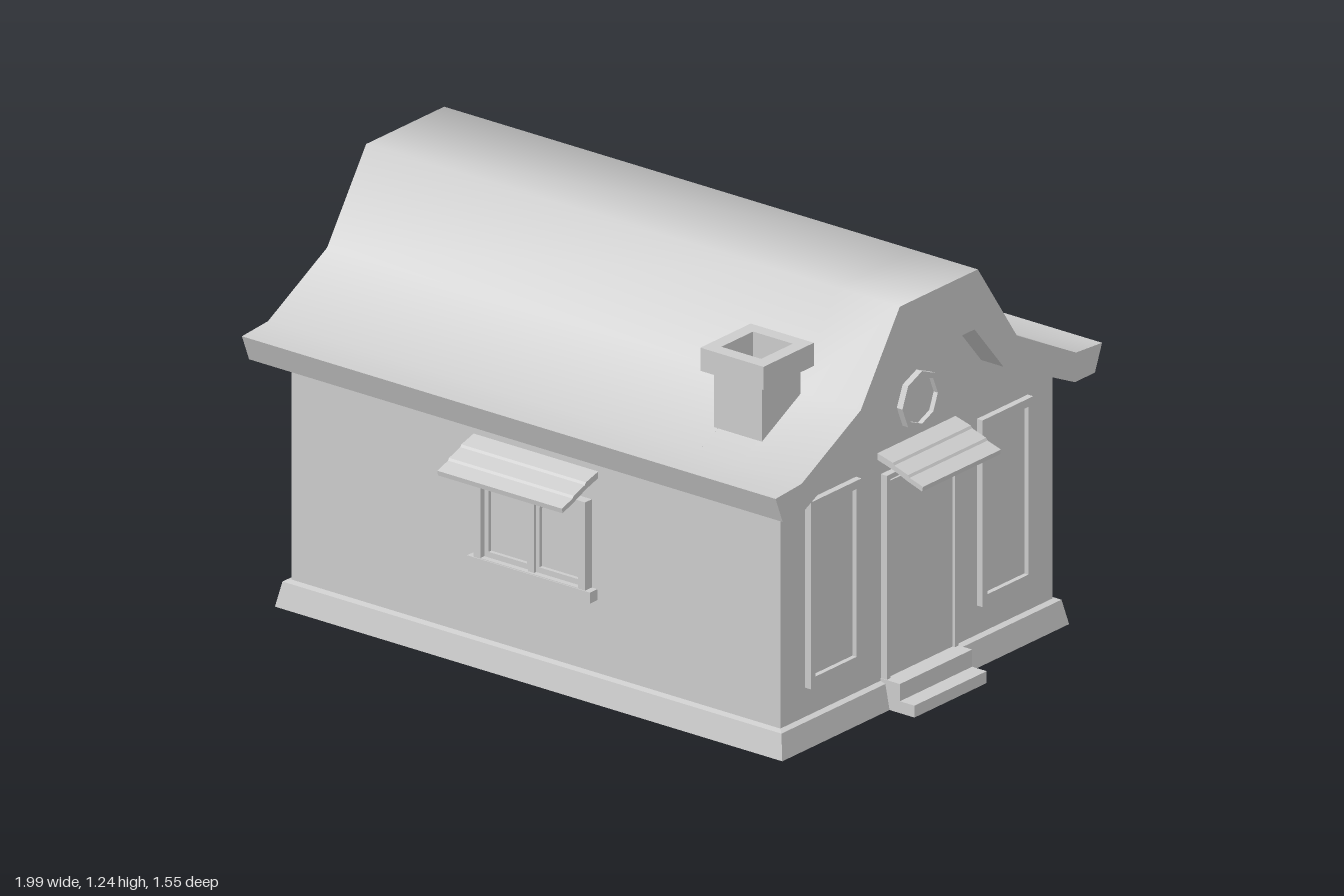
import * as THREE from 'three';
import { mergeGeometries, toCreasedNormals } from 'three/addons/utils/BufferGeometryUtils.js';

const grey = new THREE.MeshStandardMaterial({ color: 0xcccccc });
const sheet = new THREE.MeshStandardMaterial({ color: 0xcccccc, side: THREE.DoubleSide });

const mesh = (name, geometry, material = grey) => {
  const m = new THREE.Mesh(geometry, material);
  m.name = name;
  return m;
};
const shapeOf = (pts) => new THREE.Shape(pts.map(([x, y]) => new THREE.Vector2(x, y)));
const rect = (x0, x1, y0, y1) => shapeOf([[x0, y0], [x1, y0], [x1, y1], [x0, y1]]);
const withHoles = (shape, ...holes) => { shape.holes.push(...holes); return shape; };
const extrude = (shape, z0, z1) =>
  new THREE.ExtrudeGeometry(shape, { depth: z1 - z0, bevelEnabled: false, curveSegments: 6 }).translate(0, 0, z0);
// Extrude a (z, y) profile along x
const extrudeX = (pts, x0, x1) =>
  extrude(shapeOf(pts), 0, x1 - x0).rotateY(-Math.PI / 2).translate(x1, 0, 0);
const box = (x0, x1, y0, y1, z0, z1) =>
  new THREE.BoxGeometry(x1 - x0, y1 - y0, z1 - z0).translate((x0 + x1) / 2, (y0 + y1) / 2, (z0 + z1) / 2);

const X0 = -0.92, X1 = 0.83, Z = 0.61, WIN_X = -0.045;

// Right half of the roof section, ridge to eave, above and below
const ROOF_TOP = [[0.175, 1.237], [0.35, 0.98], [0.615, 0.843], [0.732, 0.835]];
const ROOF_UNDER = [[0.7, 0.755], [0.61, 0.755], [0.29, 0.905], [0.16, 1.06]];
const mirrored = (pts) => pts.map(([z, y]) => [-z, y]).reverse();

function roof() {
  const right = [...ROOF_TOP, ...ROOF_UNDER];
  const full = [...right, ...mirrored(right)];
  // Beside the flue the section is split in two, leaving an open shaft
  const inner = [ROOF_TOP[0], ROOF_TOP[1], [0.37, 0.97], [0.37, 0.867], ROOF_UNDER[2], ROOF_UNDER[3], ...mirrored(right)];
  const eave = [[0.51, 0.897], ROOF_TOP[2], ROOF_TOP[3], ROOF_UNDER[0], ROOF_UNDER[1], [0.51, 0.802]];
  const parts = [
    extrudeX(full, -1, 0.54), extrudeX(inner, 0.54, 0.685),
    extrudeX(eave, 0.54, 0.685), extrudeX(full, 0.685, 0.91),
  ];
  return mesh('roof', toCreasedNormals(mergeGeometries(parts), Math.PI / 3));
}

function walls() {
  const g = new THREE.Group();
  g.name = 'walls';
  for (const s of [1, -1]) {
    const hole = rect(WIN_X - 0.19, WIN_X + 0.19, 0.32, 0.59);
    const side = new THREE.ShapeGeometry(withHoles(rect(X0, X1, 0, 0.765), hole));
    if (s < 0) side.rotateY(Math.PI).translate(X0 + X1, 0, 0);
    // Turning the back wall moves its opening, so it is put back in line
    if (s < 0) {
      const pos = side.attributes.position;
      for (let i = 0; i < pos.count; i++) {
        const x = pos.getX(i);
        if (x > X0 + 0.01 && x < X1 - 0.01) pos.setX(i, x + 2 * WIN_X - (X0 + X1));
      }
    }
    g.add(mesh(s > 0 ? 'frontWall' : 'backWall', side.translate(0, 0, s * Z), sheet));
    const half = [[Z, 0], [Z, 0.76], [0.29, 0.91], [0.16, 1.065]];
    const gable = new THREE.ShapeGeometry(shapeOf([...half, ...mirrored(half)]));
    gable.rotateY(s * Math.PI / 2).translate(s > 0 ? X1 : X0, 0, 0);
    g.add(mesh(s > 0 ? 'doorGable' : 'plainGable', gable, sheet));
  }
  return g;
}

// Sloped base band: rectangular rings joined into a closed skirt
function plinth() {
  const rings = [[0, 0], [0.033, 0], [0.018, 0.075], [0, 0.08]];
  const corner = ([d, y], i) => [
    [X0 - d, y, Z + d], [X1 + d, y, Z + d], [X1 + d, y, -Z - d], [X0 - d, y, -Z - d],
  ][i % 4];
  const v = [];
  for (let r = 0; r < 3; r++) for (let i = 0; i < 4; i++) {
    const a = corner(rings[r], i), b = corner(rings[r], i + 1);
    const c = corner(rings[r + 1], i + 1), d = corner(rings[r + 1], i);
    v.push(...a, ...b, ...c, ...a, ...c, ...d);
  }
  const geo = new THREE.BufferGeometry();
  geo.setAttribute('position', new THREE.Float32BufferAttribute(v, 3));
  geo.computeVertexNormals();
  return mesh('plinth', geo);
}

// Thin bent canopy, leaning out along +z
function awning(width, y) {
  const pts = [[0, 0], [0.055, -0.015], [0.06, -0.022], [0.11, -0.038], [0.115, -0.045], [0.163, -0.06],
    [0.16, -0.075], [0.11, -0.058], [0.055, -0.036], [0, -0.02]];
  return mesh('awning', extrudeX(pts, -width / 2, width / 2).translate(0, y, 0));
}

function windowUnit(name) {
  const g = new THREE.Group();
  g.name = name;
  const frame = withHoles(rect(-0.2, 0.2, 0.3, 0.6), rect(-0.175, 0.175, 0.335, 0.578));
  g.add(mesh('windowFrame', extrude(frame, -0.015, 0.03)));
  g.add(mesh('windowSill', box(-0.22, 0.22, 0.3, 0.333, -0.005, 0.033)));
  g.add(mesh('mullion', box(-0.01, 0.01, 0.333, 0.58, -0.012, 0.022)));
  for (const s of [1, -1]) {
    // Sash opening with a rounded upper corner toward the middle
    const hole = new THREE.Path();
    hole.moveTo(s * 0.022, 0.352);
    hole.lineTo(s * 0.16, 0.352);
    hole.lineTo(s * 0.16, 0.563);
    hole.lineTo(s * 0.06, 0.563);
    hole.quadraticCurveTo(s * 0.022, 0.563, s * 0.022, 0.52);
    hole.closePath();
    const sash = withHoles(rect(Math.min(0, s * 0.178), Math.max(0, s * 0.178), 0.333, 0.58), hole);
    g.add(mesh('sash', extrude(sash, -0.01, 0.012)));
  }
  g.add(mesh('pane', new THREE.ShapeGeometry(rect(-0.178, 0.178, 0.333, 0.58)), sheet));
  g.add(awning(0.446, 0.69));
  return g;
}

function entrance() {
  const g = new THREE.Group();
  g.name = 'entrance';
  g.add(mesh('door', box(-0.145, 0.145, 0.08, 0.68, -0.005, 0.013)));
  const jamb = withHoles(rect(-0.16, 0.16, 0.01, 0.705), rect(-0.145, 0.145, 0.08, 0.69));
  g.add(mesh('doorFrame', extrude(jamb, 0, 0.022)));
  g.add(mesh('upperStep', box(-0.162, 0.162, 0, 0.088, 0, 0.07)));
  g.add(mesh('lowerStep', box(-0.162, 0.162, 0, 0.036, 0.07, 0.122)));
  g.add(awning(0.35, 0.773));
  // Tall side windows
  for (const s of [1, -1]) {
    const a = s * 0.385;
    const frame = withHoles(rect(a - 0.114, a + 0.114, 0.168, 0.733), rect(a - 0.092, a + 0.092, 0.2, 0.708));
    g.add(mesh('sideWindowFrame', extrude(frame, -0.005, 0.02)));
    g.add(mesh('sideWindowPane', box(a - 0.092, a + 0.092, 0.2, 0.708, -0.005, 0.005)));
  }
  // Eight-sided gable window
  const octagon = (r) => shapeOf(Array.from({ length: 8 }, (_, i) =>
    [r * Math.cos(i * Math.PI / 4), 0.882 + r * Math.sin(i * Math.PI / 4)]));
  g.add(mesh('gableWindowFrame', extrude(withHoles(octagon(0.088), octagon(0.071)), -0.005, 0.02)));
  g.add(mesh('gableWindowPane', extrude(octagon(0.071), -0.005, 0.005)));
  return g;
}

// Hollow square stack with a wider cap
function chimney() {
  const g = new THREE.Group();
  g.name = 'chimney';
  const tube = (r, y0, y1) => extrude(withHoles(rect(-r, r, -r, r), rect(-0.071, 0.071, -0.071, 0.071)), 0, y1 - y0)
    .rotateX(-Math.PI / 2).translate(0.6125, y0, 0.442);
  g.add(mesh('chimneyStack', tube(0.086, 0.87, 1.065)), mesh('chimneyCap', tube(0.113, 1.06, 1.13)));
  return g;
}

export function createModel() {
  const model = new THREE.Group();
  model.name = 'house';
  const front = windowUnit('frontWindow');
  front.position.set(WIN_X, 0, Z);
  const back = windowUnit('backWindow');
  back.position.set(WIN_X, 0, -Z);
  back.rotation.y = Math.PI;
  const door = entrance();
  door.position.x = X1;
  door.rotation.y = Math.PI / 2;
  model.add(walls(), plinth(), roof(), chimney(), front, back, door);
  return model;
}
